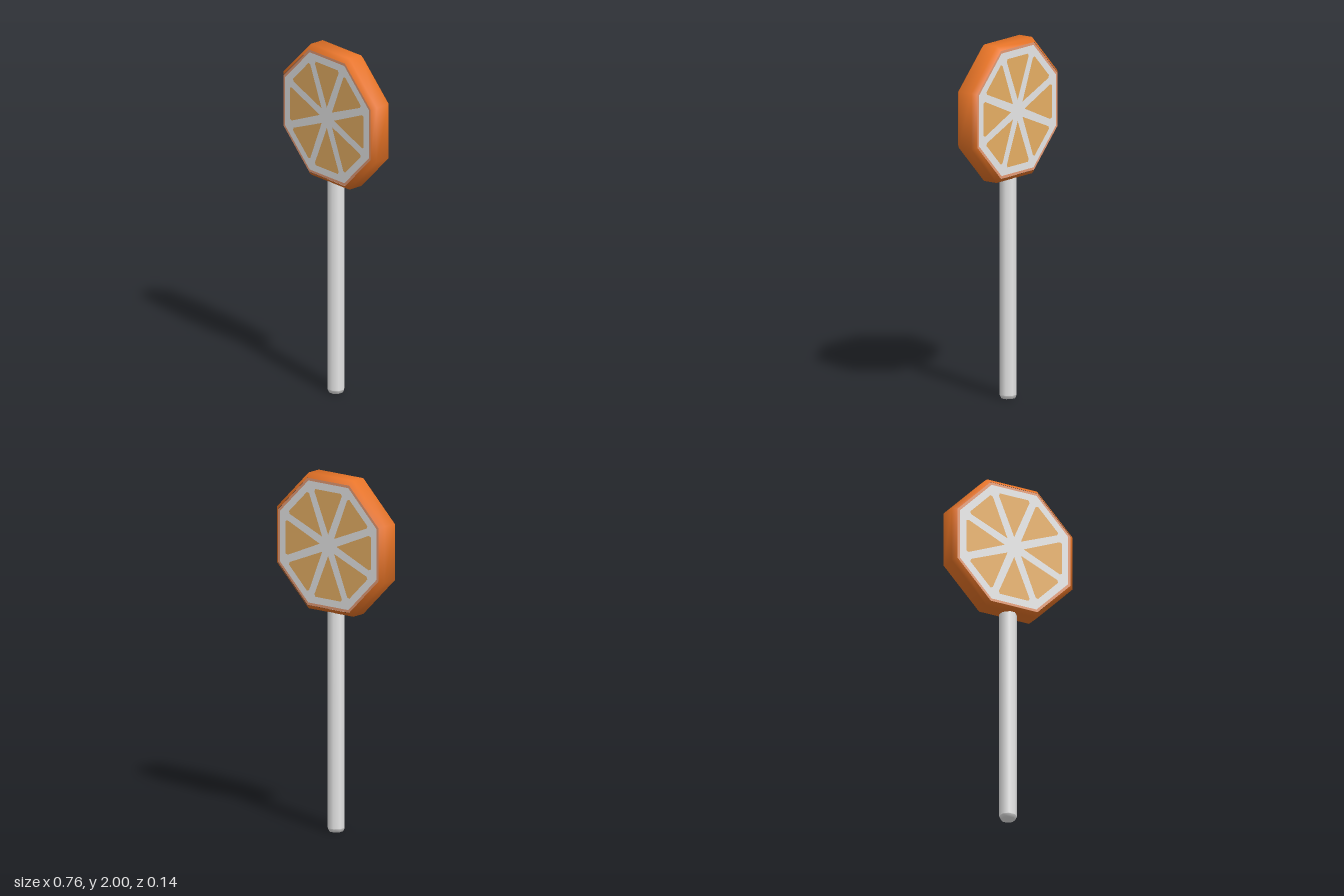
import * as THREE from 'three';

const SIDES = 8;
const HALF = Math.PI / SIDES;
const CENTER_Y = 1.618;
const toCorner = (apothem) => apothem / Math.cos(HALF);

const material = (name, color) => {
  const m = new THREE.MeshStandardMaterial({ color });
  m.name = name;
  return m;
};

// Smooth octagonal solid turned from [apothem, height] pairs
function octagonLathe(profile) {
  const points = profile.map(([a, y]) => new THREE.Vector2(toCorner(a), y));
  return new THREE.LatheGeometry(points, SIDES, HALF);
}

function addMesh(parent, name, geometry, mat) {
  const mesh = new THREE.Mesh(geometry, mat);
  mesh.name = name;
  parent.add(mesh);
  return mesh;
}

export function createModel() {
  const peel = material('orange peel', 0xf57b29);
  const peelEdge = material('pale peel edge', 0xf0a27a);
  const pith = material('white pith', 0xf2f2f2);
  const pulp = material('orange pulp', 0xf2b86a);

  const model = new THREE.Group();
  model.name = 'citrusLollipop';

  // Stick with a chamfered foot
  addMesh(model, 'stick', octagonLathe([[0.037, 0.01], [0.045, 0.02], [0.045, 1.26]]), pith);
  addMesh(model, 'stickFoot', octagonLathe([[0, 0], [0.037, 0], [0.045, 0.018], [0.045, 0.022]]), pith);

  // Chamfered rind around the candy
  const candy = new THREE.Group();
  candy.name = 'candy';
  candy.position.y = CENTER_Y;
  model.add(candy);
  const rind = octagonLathe([[0.358, -0.067], [0.382, -0.043], [0.382, 0.043], [0.358, 0.067]]);
  rind.rotateX(Math.PI / 2);
  addMesh(candy, 'rind', rind, peel);

  // One pulp wedge, pointing up, with clipped outer corners
  const wedge = new THREE.Shape([
    [0, 0.06], [0.097, 0.288], [0.091, 0.303], [-0.091, 0.303], [-0.097, 0.288],
  ].map(([x, y]) => new THREE.Vector2(x, y)));
  const wedgeGeometry = new THREE.ShapeGeometry(wedge);
  const octagonFace = (apothem) => new THREE.CircleGeometry(toCorner(apothem), SIDES, HALF);

  // Cut faces on both sides
  for (const [name, turn] of [['frontFace', 0], ['backFace', Math.PI]]) {
    const face = new THREE.Group();
    face.name = name;
    face.rotation.y = turn;
    candy.add(face);
    addMesh(face, 'peelEdge', octagonFace(0.358), peelEdge).position.z = 0.0645;
    addMesh(face, 'pith', octagonFace(0.343), pith).position.z = 0.066;
    for (let i = 0; i < SIDES; i++) {
      const segment = addMesh(face, 'pulpSegment', wedgeGeometry, pulp);
      segment.position.z = 0.0675;
      segment.rotation.z = i * HALF * 2;
    }
  }
  return model;
}
